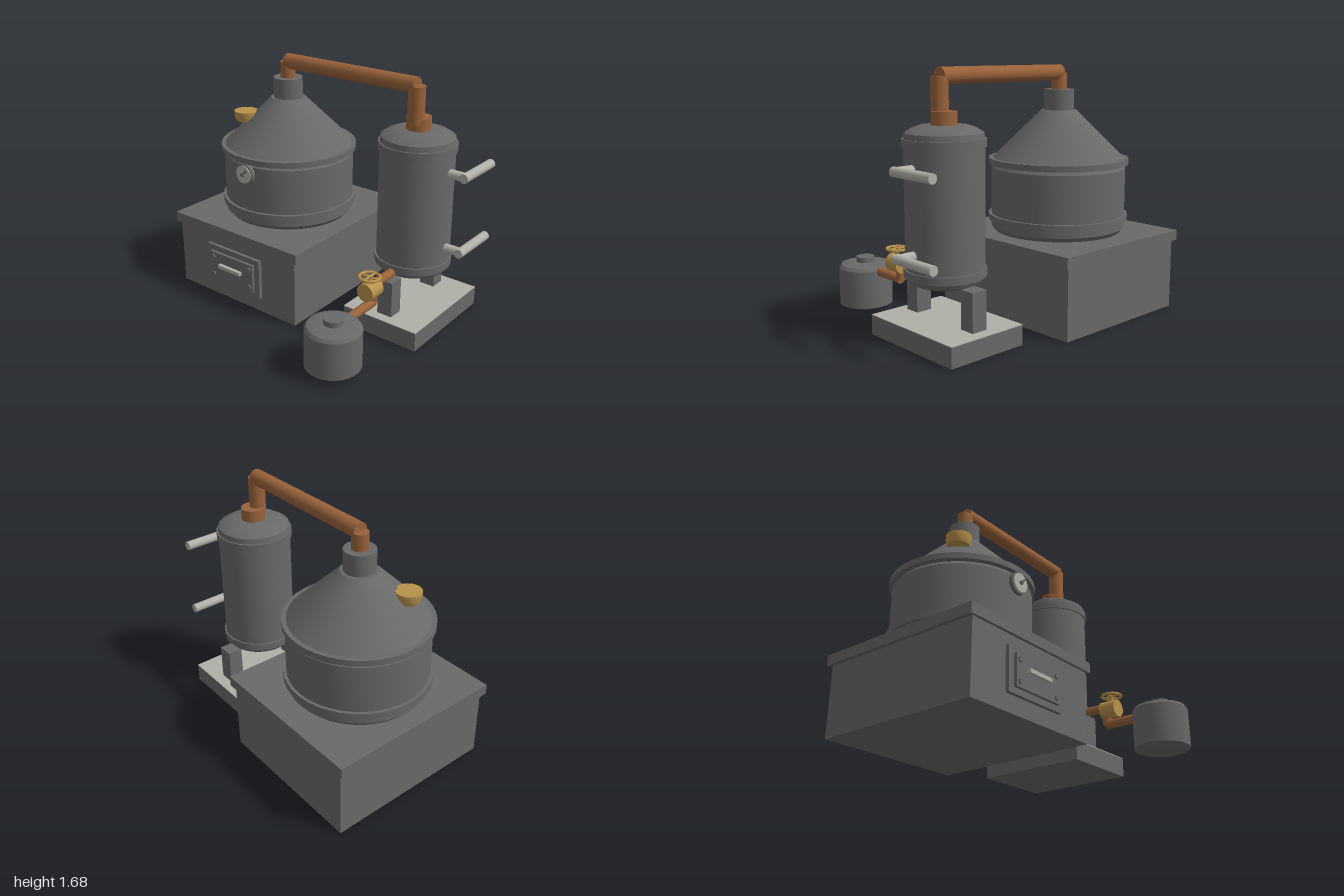
import * as THREE from 'three';
import { toCreasedNormals } from 'three/addons/utils/BufferGeometryUtils.js';

const paint = (name, color) => {
  const m = new THREE.MeshStandardMaterial({ color });
  m.name = name;
  return m;
};

export function createModel() {
  const iron = paint('iron grey', 0x696969);
  const pale = paint('pale grey', 0xb0b0a8);
  const copper = paint('copper', 0x99623a);
  const brass = paint('brass', 0xb8924a);
  const root = new THREE.Group();
  root.name = 'distillationStill';

  const add = (name, geo, mat, x = 0, y = 0, z = 0, parent = root) => {
    const m = new THREE.Mesh(geo, mat);
    m.name = name;
    m.position.set(x, y, z);
    parent.add(m);
    return m;
  };
  // Box given by its limits on each axis
  const box = (name, mat, [x0, x1], [y0, y1], [z0, z1]) =>
    add(name, new THREE.BoxGeometry(x1 - x0, y1 - y0, z1 - z0), mat,
      (x0 + x1) / 2, (y0 + y1) / 2, (z0 + z1) / 2);
  // Round rod between two points
  const rod = (name, mat, r, a, b, seg = 20) => {
    const p = new THREE.Vector3(...a), q = new THREE.Vector3(...b);
    const m = add(name, new THREE.CylinderGeometry(r, r, p.distanceTo(q), seg), mat);
    m.position.copy(p).add(q).multiplyScalar(0.5);
    m.quaternion.setFromUnitVectors(new THREE.Vector3(0, 1, 0), q.sub(p).normalize());
    return m;
  };
  // Turned part with crisp rings; profile is [radius, height] from the bottom up
  const turned = (name, mat, x, z, profile) =>
    add(name, toCreasedNormals(new THREE.LatheGeometry(
      profile.map(([r, y]) => new THREE.Vector2(r, y)), 40), 0.4), mat, x, 0, z);

  // Furnace block and its slab
  box('furnace', iron, [-0.97, 0.1], [0, 0.48], [-0.79, 0.39]);
  box('furnaceSlab', iron, [-1, 0.13], [0.475, 0.545], [-0.81, 0.41]);

  // Fire door with corner bolts and handle
  box('doorFrame', iron, [-0.685, -0.195], [0.11, 0.395], [0.38, 0.415]);
  box('doorPanel', iron, [-0.64, -0.24], [0.15, 0.355], [0.4, 0.435]);
  for (const x of [-0.61, -0.27])
    for (const y of [0.185, 0.32])
      rod('doorBolt', iron, 0.017, [x, y, 0.43], [x, y, 0.445], 14);
  box('doorHandle', pale, [-0.545, -0.34], [0.255, 0.28], [0.43, 0.46]);

  // Boiler pot with two bands, conical head and collar
  const px = -0.44, pz = -0.2;
  turned('boiler', iron, px, pz, [
    [0, 0.54], [0.43, 0.54], [0.46, 0.575], [0.46, 0.62], [0.48, 0.62], [0.48, 0.665],
    [0.46, 0.665], [0.46, 0.985], [0.44, 1.01], [0.48, 1.01], [0.48, 1.05], [0.45, 1.05],
    [0.12, 1.375], [0.102, 1.375], [0.102, 1.515], [0, 1.515]]);

  // Brass filler cap
  turned('fillerCap', brass, -0.68, -0.02,
    [[0, 1.2], [0.07, 1.2], [0.083, 1.235], [0.083, 1.27], [0, 1.27]]);

  // Pressure gauge
  const gx = -0.43, gy = 0.935;
  rod('gaugeCase', iron, 0.075, [gx, gy, 0.23], [gx, gy, 0.285], 28);
  rod('gaugeFace', pale, 0.064, [gx, gy, 0.284], [gx, gy, 0.292], 28);
  rod('gaugeHub', iron, 0.014, [gx, gy, 0.29], [gx, gy, 0.305], 14);
  const needle = add('gaugeNeedle', new THREE.BoxGeometry(0.055, 0.012, 0.008), iron,
    gx + 0.018, gy + 0.018, 0.296);
  needle.rotation.z = 0.75;

  // Copper vapour line
  const cx = 0.61, cz = -0.24;
  rod('vapourRiser', copper, 0.053, [px, 1.5, pz], [px, 1.625, pz]);
  rod('vapourPipe', copper, 0.053, [px, 1.627, pz], [cx, 1.627, pz]);
  rod('vapourDowncomer', copper, 0.055, [cx, 1.38, pz], [cx, 1.625, pz]);
  rod('condenserFlange', copper, 0.08, [cx, 1.32, cz], [cx, 1.42, cz], 24);

  // Condenser tank
  turned('condenser', iron, cx, cz, [
    [0, 0.35], [0.1, 0.354], [0.19, 0.37], [0.23, 0.39], [0.245, 0.42], [0.256, 0.42],
    [0.256, 0.47], [0.245, 0.47], [0.245, 1.21], [0.256, 1.21], [0.256, 1.26],
    [0.245, 1.26], [0.24, 1.295], [0.2, 1.32], [0.15, 1.338], [0, 1.34]]);

  // Water inlet and outlet
  for (const y of [0.575, 1.09]) {
    rod('waterStub', pale, 0.031, [0.83, y, cz], [0.965, y, cz]);
    rod('waterPipe', pale, 0.031, [0.965, y, -0.21], [0.965, y, -0.57]);
  }

  // Plinth with a pale top and two legs
  box('plinth', iron, [0.33, 0.895], [0, 0.128], [-0.63, 0.15]);
  box('plinthTop', pale, [0.33, 0.895], [0.128, 0.133], [-0.63, 0.15]);
  for (const z of [0.03, -0.5])
    box('condenserLeg', iron, [0.555, 0.665], [0.13, 0.36 + 0.02], [z - 0.052, z + 0.052]);

  // Outlet pipe stepping down to the receiver
  rod('outletPipe', copper, 0.031, [cx, 0.417, -0.1], [cx, 0.417, 0.22]);
  rod('outletDrop', copper, 0.031, [cx, 0.29, 0.22], [cx, 0.4, 0.22]);
  rod('receiverPipe', copper, 0.031, [cx, 0.292, 0.22], [cx, 0.292, 0.52]);

  // Valve with handwheel
  const vz = 0.26;
  rod('valveBody', brass, 0.061, [cx, 0.395, 0.19], [cx, 0.395, 0.31], 24);
  rod('valveStem', brass, 0.014, [cx, 0.44, vz], [cx, 0.497, vz], 12);
  const rim = add('handwheelRim', new THREE.TorusGeometry(0.066, 0.01, 10, 32), brass, cx, 0.49, vz);
  rim.rotation.x = Math.PI / 2;
  rod('handwheelSpoke', brass, 0.008, [cx - 0.066, 0.49, vz], [cx + 0.066, 0.49, vz], 10);
  rod('handwheelSpoke', brass, 0.008, [cx, 0.49, vz - 0.066], [cx, 0.49, vz + 0.066], 10);

  // Receiver flask
  turned('receiver', iron, cx, 0.63, [
    [0, 0.016], [0.08, 0.019], [0.14, 0.03], [0.181, 0.046], [0.181, 0.3], [0.165, 0.322],
    [0.12, 0.332], [0.062, 0.335], [0.062, 0.37], [0, 0.37]]);

  return root;
}
